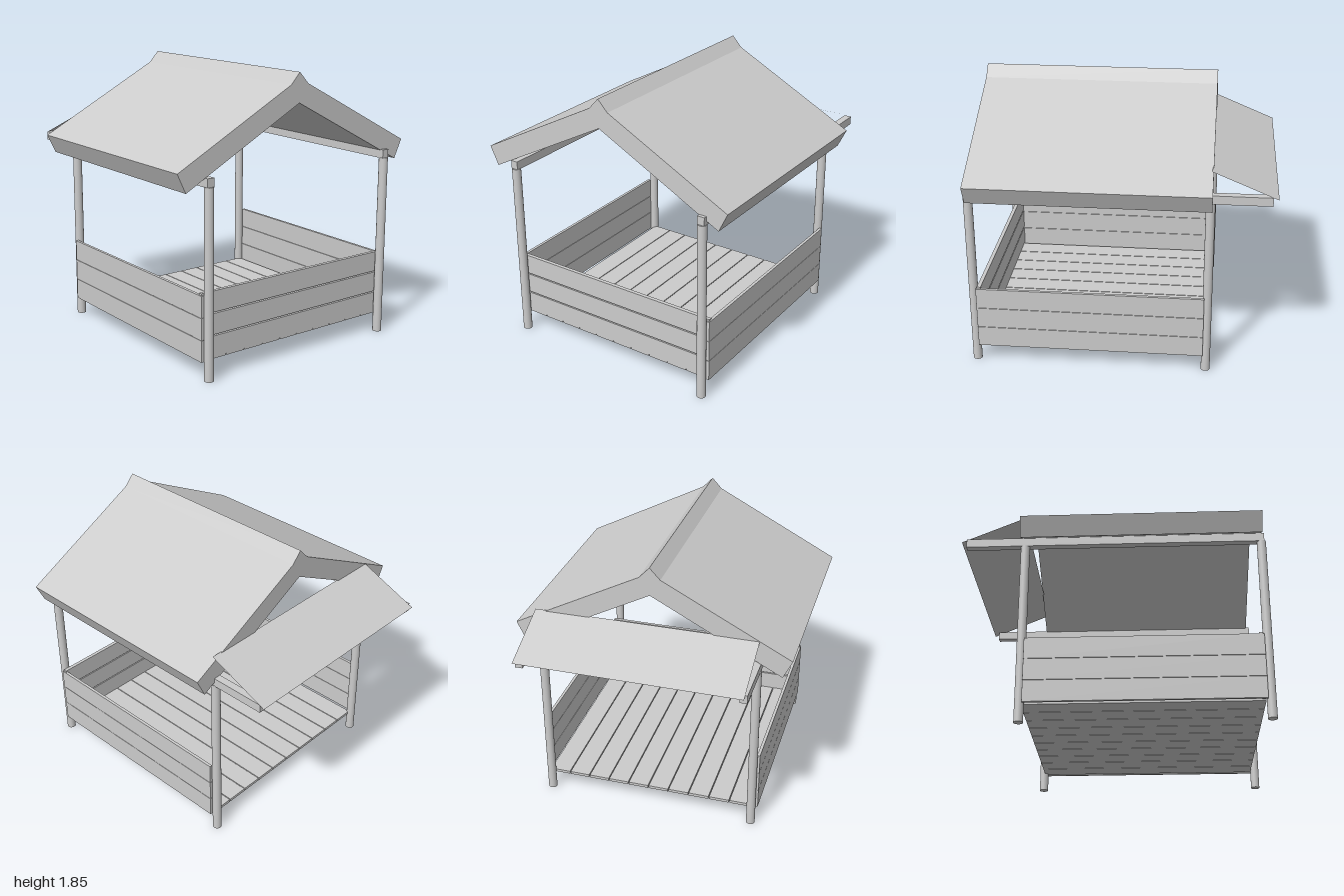
import * as THREE from 'three';

export function createModel() {
  const model = new THREE.Group();
  model.name = 'playShelter';
  const grey = new THREE.MeshStandardMaterial({ color: 0xcccccc });
  const greyDouble = new THREE.MeshStandardMaterial({ color: 0xcccccc, side: THREE.DoubleSide });

  const add = (name, geometry, material = grey) => {
    const mesh = new THREE.Mesh(geometry, material);
    mesh.name = name;
    model.add(mesh);
    return mesh;
  };
  // box given by its limits on each axis
  const box = (name, [x0, x1], [y0, y1], [z0, z1]) =>
    add(name, new THREE.BoxGeometry(x1 - x0, y1 - y0, z1 - z0))
      .position.set((x0 + x1) / 2, (y0 + y1) / 2, (z0 + z1) / 2);

  // round corner posts, each side carrying a long beam
  const postX = [-0.7, 0.755], postZ = [-0.577, 0.97];
  for (const x of postX) {
    for (const z of postZ)
      add('post', new THREE.CylinderGeometry(0.03, 0.03, 1.225, 24)).position.set(x, 0.6125, z);
    box('roofBeam', [x - 0.025, x + 0.025], [1.222, 1.28], [-0.965, 0.988]);
  }

  // floor planks running front to back
  const pitch = 0.1455;
  for (let i = 0; i < 10; i++) {
    const x = -0.69 + i * pitch;
    box('floorPlank', [x + 0.003, x + pitch - 0.003], [0.123, 0.143], [-0.57, 0.94]);
  }

  // three boards on the front and on both sides, back left open
  for (let i = 0; i < 3; i++) {
    const front = 0.134 + i * 0.1455, side = 0.122 + i * 0.1435;
    box('frontBoard', [-0.735, 0.79], [front, front + 0.137], [0.915, 0.94]);
    box('leftBoard', [0.777, 0.797], [side, side + 0.1405], [-0.557, 0.948]);
    box('rightBoard', [-0.742, -0.722], [side, side + 0.1405], [-0.557, 0.948]);
  }

  // thick gabled roof with a raised ridge
  const half = [[0.07, 1.775], [0.925, 1.33], [0.865, 1.205]];
  const outline = [
    [0, 1.85], ...half, [0, 1.658],
    ...half.slice().reverse().map(([x, y]) => [-x, y]),
  ].map(([x, y]) => new THREE.Vector2(x, y));
  add('roof', new THREE.ExtrudeGeometry(new THREE.Shape(outline), { depth: 1.555, bevelEnabled: false }))
    .position.z = -0.59;

  // thin sloping canopy over the open back
  const top = [1.443, -0.582], low = [1.268, -1.0];
  const rise = top[0] - low[0], run = top[1] - low[1];
  const canopy = add('backCanopy', new THREE.PlaneGeometry(1.495, Math.hypot(rise, run)), greyDouble);
  canopy.position.set(0.0375, (top[0] + low[0]) / 2, (top[1] + low[1]) / 2);
  canopy.rotation.x = Math.atan2(run, rise);

  return model;
}
